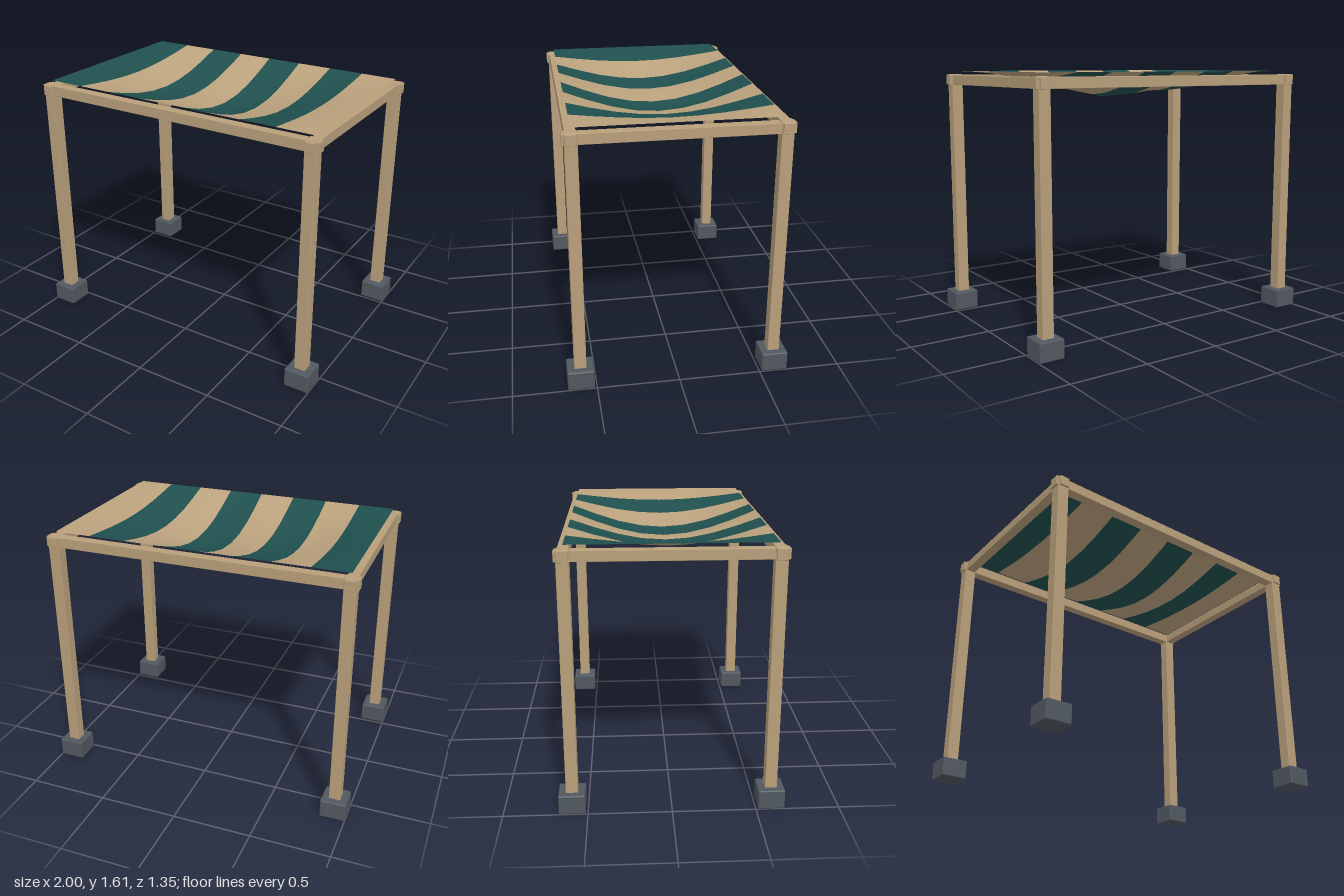
import * as THREE from 'three';
import { RoundedBoxGeometry } from 'three/addons/geometries/RoundedBoxGeometry.js';

const material = (name, color, side = THREE.FrontSide) => {
  const m = new THREE.MeshStandardMaterial({ color, side });
  m.name = name;
  return m;
};

export function createModel() {
  const wood = material('wood', 0xb89f7a);
  const slate = material('slate', 0x50585f);
  const green = material('green cloth', 0x1f504e, THREE.DoubleSide);
  const sand = material('sand cloth', 0xbba27d, THREE.DoubleSide);

  const group = new THREE.Group();
  group.name = 'canopy shelter';
  const PX = 0.92, PZ = 0.593;

  // bevelled block spanning y0..y1
  const block = (name, mat, w, d, y0, y1, x, z, bevel) => {
    const mesh = new THREE.Mesh(new RoundedBoxGeometry(w, y1 - y0, d, 1, bevel), mat);
    mesh.name = name;
    mesh.position.set(x, (y0 + y1) / 2, z);
    group.add(mesh);
  };

  // footings and posts at the four corners
  for (const sx of [-1, 1]) {
    for (const sz of [-1, 1]) {
      const side = (sz > 0 ? 'front' : 'back') + (sx > 0 ? 'Left' : 'Right');
      block(side + 'Footing', slate, 0.16, 0.16, 0, 0.12, sx * PX, sz * PZ, 0.008);
      block(side + 'Post', wood, 0.073, 0.073, 0.1, 1.587, sx * PX, sz * PZ, 0.005);
    }
  }

  // top rails, running slightly past the posts
  for (const s of [-1, 1]) {
    block(s > 0 ? 'frontRail' : 'backRail', wood, 1.94, 0.062, 1.519, 1.584, 0, s * PZ, 0.003);
    block(s > 0 ? 'leftRail' : 'rightRail', wood, 0.062, 1.285, 1.519, 1.582, s * PX, 0, 0.003);
  }

  // sagging cloth: depth of the sag along x, fading to zero at both long edges
  const sag = [0, 0.028, 0.078, 0.12, 0.135, 0.132, 0.155, 0.165, 0.132, 0.098, 0.066, 0.026, 0];
  const W = 1.84, D = 1.18, stripes = 8, rowsPerStripe = 3, across = 8;
  const rows = stripes * rowsPerStripe;
  const cloth = new THREE.PlaneGeometry(D, W, across, rows);
  const pos = cloth.attributes.position;
  for (let i = 0; i < pos.count; i++) {
    const row = Math.floor(i / (across + 1));
    const t = (row / rows) * (sag.length - 1);
    const depth = (sag[Math.floor(t)] + sag[Math.ceil(t)]) / 2;
    const x = -pos.getY(i), z = -pos.getX(i);
    pos.setXYZ(i, x, 1.608 - depth * Math.cos(Math.PI * z / D), z);
  }
  cloth.computeVertexNormals();

  // alternating stripes as material groups
  const perStripe = across * rowsPerStripe * 6;
  for (let s = 0; s < stripes; s++) cloth.addGroup(s * perStripe, perStripe, s % 2);
  const canopy = new THREE.Mesh(cloth, [green, sand]);
  canopy.name = 'stripedCanopy';
  group.add(canopy);

  return group;
}
